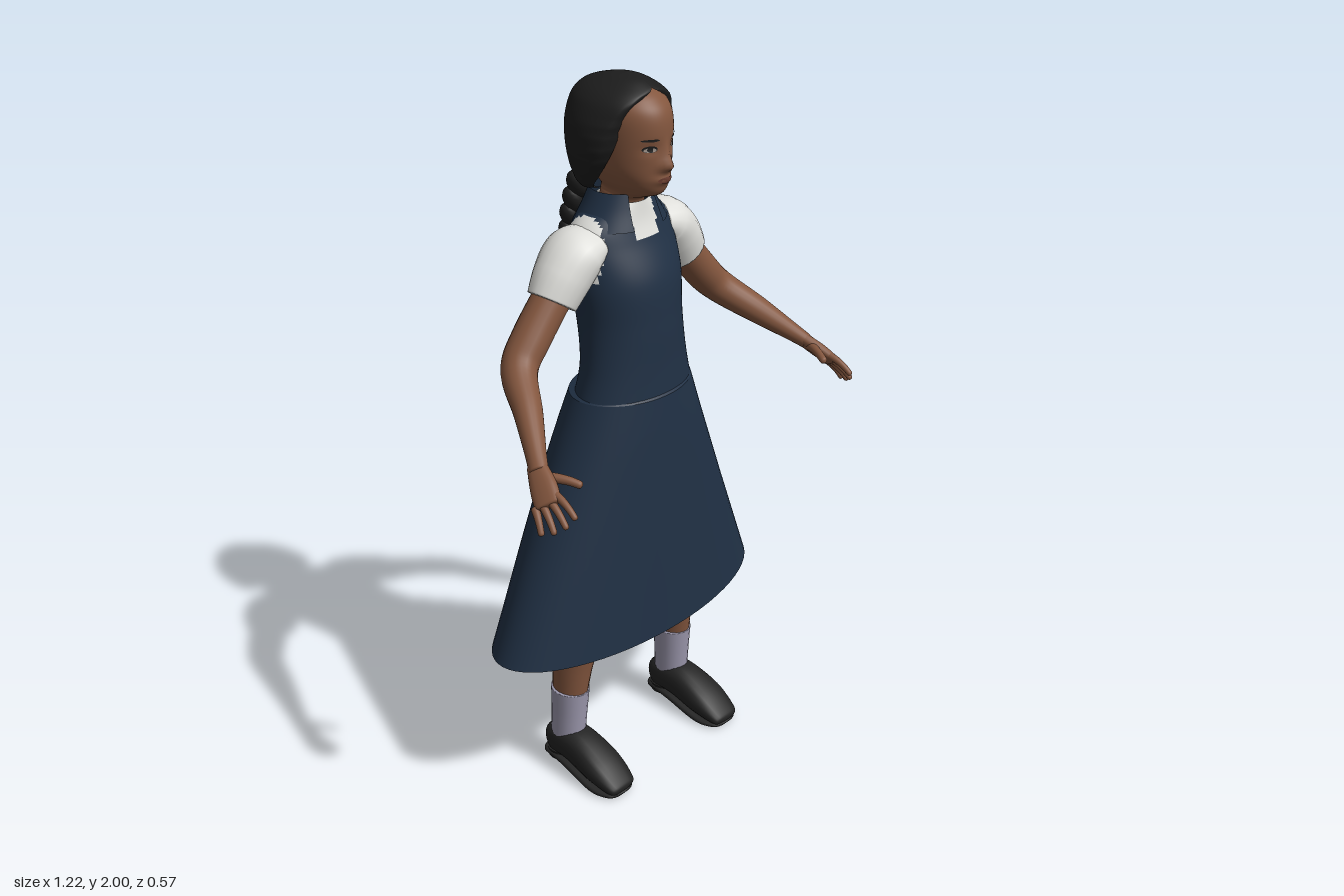
import * as THREE from 'three';

const mat = (name, color, side = THREE.FrontSide) => {
  const m = new THREE.MeshStandardMaterial({ color, side });
  m.name = name;
  return m;
};

// Catmull-Rom interpolation through rows of numbers, t in 0..1
function sample(rows, t) {
  const n = rows.length - 1, f = Math.min(t * n, n - 1e-6), i = Math.floor(f), k = f - i;
  const p = (j) => rows[Math.max(0, Math.min(n, j))];
  return rows[0].map((_, c) => {
    const a = p(i - 1)[c], b = p(i)[c], d = p(i + 1)[c], e = p(i + 2)[c];
    return b + 0.5 * k * (d - a + k * (2 * a - 5 * b + 4 * d - e + k * (3 * (b - d) + e - a)));
  });
}

// Grid surface; pick() sorts its faces into material groups
function surface(nu, nv, closed, point, pick = () => 0) {
  const pos = [], lists = [[], []], cols = closed ? nu : nu + 1;
  for (let j = 0; j <= nv; j++) for (let i = 0; i < cols; i++) pos.push(...point(i / nu, j / nv));
  for (let j = 0; j < nv; j++) for (let i = 0; i < nu; i++) {
    const a = j * cols + i, b = j * cols + (i + 1) % cols, c = b + cols, d = a + cols;
    const mid = [0, 1, 2].map((k) => (pos[a * 3 + k] + pos[c * 3 + k]) / 2);
    lists[pick(...mid)].push(a, b, c, a, c, d);
  }
  const g = new THREE.BufferGeometry();
  g.setAttribute('position', new THREE.Float32BufferAttribute(pos, 3));
  g.setIndex([...lists[0], ...lists[1]]);
  if (lists[1].length) {
    g.addGroup(0, lists[0].length, 0);
    g.addGroup(lists[0].length, lists[1].length, 1);
  }
  g.computeVertexNormals();
  return g;
}

// Stacked oval rings [y, halfWidth, zFront, zBack], angle measured from the front
const onRing = ([y, rx, zf, zb], a, s = 1) =>
  [rx * s * Math.sin(a), y, (zf + zb) / 2 + s * (zf - zb) / 2 * Math.cos(a)];
const loft = (rings, nu, nv, pick) =>
  surface(nu, nv, true, (u, v) => onRing(sample(rings, v), u * Math.PI * 2), pick);

// Limb swept through sections [x, y, z, radiusA, radiusB]; radiusA lies along ref, ends are rounded off
function sweep(rows, ref, cap, power = 1) {
  const R = new THREE.Vector3(...ref);
  const at = (t) => new THREE.Vector3(...sample(rows, t).slice(0, 3));
  const pw = (x) => Math.sign(x) * Math.abs(x) ** power;
  return surface(20, 36, true, (u, v) => {
    const s = sample(rows, v), a = u * Math.PI * 2;
    const end = Math.max(0, 1 - Math.min(v, 1 - v) / cap), k = Math.sqrt(1 - end * end) + 0.002;
    const T = at(Math.min(1, v + 0.01)).sub(at(Math.max(0, v - 0.01))).normalize();
    const P = R.clone().addScaledVector(T, -R.dot(T)).normalize();
    const Q = T.clone().cross(P);
    return new THREE.Vector3(s[0], s[1], s[2]).addScaledVector(P, k * s[3] * pw(Math.cos(a)))
      .addScaledVector(Q, k * s[4] * pw(Math.sin(a))).toArray();
  });
}

const HEAD = [[1.6, .055, -.02, -.14], [1.68, .052, -.015, -.14], [1.7, .05, .025, -.14], [1.712, .054, .053, -.14],
  [1.74, .072, .066, -.16], [1.79, .089, .069, -.185], [1.9, .097, .07, -.2],
  [1.95, .083, .042, -.18], [1.98, .045, -.01, -.13], [1.985, .001, -.06, -.062]];

// Nose, lips, chin and eye sockets as offsets of the face
function relief(x, y) {
  const g = (cx, cy, w, h, d) => d * Math.exp(-(((Math.abs(x) - cx) / w) ** 2) - ((y - cy) / h) ** 2);
  return g(0, 1.79, .02, .017, .024) + g(0, 1.815, .01, .025, .009)
    + g(0, 1.753, .026, .012, .01) + g(.04, 1.837, .02, .013, -.007);
}

// Thin painted oval that follows the face
function facePatch(cx, cy, w, h, lift) {
  const g = new THREE.CircleGeometry(1, 20), p = g.attributes.position;
  for (let i = 0; i < p.count; i++) {
    const x = cx + p.getX(i) * w, y = cy + p.getY(i) * h;
    let lo = 0, hi = 1;
    for (let k = 0; k < 30; k++) {
      const m = (lo + hi) / 2;
      if (sample(HEAD, m)[0] < y) lo = m; else hi = m;
    }
    const [, rx, zf, zb] = sample(HEAD, lo);
    p.setXYZ(i, x, y, (zf + zb) / 2 + (zf - zb) / 2 * Math.sqrt(1 - (x / rx) ** 2) + relief(x, y) + lift);
  }
  g.computeVertexNormals();
  return g;
}

export function createModel() {
  const D = THREE.DoubleSide;
  const skin = mat('skin', 0x83563e), hair = mat('hair', 0x1d1d1d, D), navy = mat('navy cloth', 0x203044, D);
  const white = mat('white cloth', 0xdfdfdb, D), sockGrey = mat('sock', 0x9b97ac), leather = mat('shoe leather', 0x232323);
  const lip = mat('lips', 0x6e3f32), eyeWhite = mat('eye white', 0x9a8f86);
  const root = new THREE.Group();
  const group = (name) => {
    const g = new THREE.Group();
    g.name = name;
    root.add(g);
    return g;
  };
  const add = (name, geo, material, parent = root) => {
    const m = new THREE.Mesh(geo, material);
    m.name = name;
    parent.add(m);
    return m;
  };

  // Dress: skirt, waist seam, bodice with blouse showing at the shoulders and neck, open collar
  add('skirt', loft([[.47, .48, .13, -.29], [.8, .343, .112, -.255], [1.02, .25, .099, -.223], [1.165, .19, .086, -.19]], 64, 30), navy);
  add('waistSeam', loft([[1.165, .19, .086, -.19], [1.175, .175, .075, -.15]], 64, 1), navy);
  add('bodice', loft([[1.13, .195, .083, -.172], [1.24, .166, .076, -.157], [1.36, .155, .071, -.177],
    [1.48, .165, .06, -.203], [1.58, .165, .018, -.192], [1.63, .14, 0, -.176], [1.68, .065, -.008, -.15]], 72, 54, (x, y, z) => {
    const ax = Math.abs(x);
    const neck = y > 1.585 && ax < .045 && (z > -.08 || y > 1.61);
    return neck || (y > 1.49 && ax > .152 - (y - 1.5) * .25) ? 1 : 0;
  }), [navy, white]);
  const COLLAR = [[1.615, .135, .024, -.198], [1.66, .105, .008, -.18], [1.705, .08, -.004, -.165]];
  add('collar', surface(40, 8, false, (u, v) => {
    const a = .4 + v * .18;
    return onRing(sample(COLLAR, v), a + u * 2 * (Math.PI - a));
  }), navy);

  // Head and face
  const head = group('head');
  add('faceAndNeck', surface(72, 90, true, (u, v) => {
    const p = onRing(sample(HEAD, v), u * Math.PI * 2);
    if (p[2] > -.03) p[2] += relief(p[0], p[1]);
    return p;
  }), skin, head);
  add('lips', facePatch(0, 1.753, .025, .009, .002), lip, head);
  for (const s of [1, -1]) {
    add('eye', facePatch(s * .041, 1.836, .017, .0085, .002), hair, head);
    add('eyeWhite', facePatch(s * .041, 1.834, .014, .0055, .003), eyeWhite, head);
    add('iris', facePatch(s * .041, 1.835, .0065, .0065, .004), hair, head);
    add('eyebrow', facePatch(s * .042, 1.859, .02, .0035, .002), hair, head);
  }

  // Hair cap: rings carry the hairline angle as a fifth value
  const HAIR = [[1.7, .045, -.06, -.17, 1.6], [1.71, .09, -.015, -.198, 1.6], [1.76, .122, .035, -.215, 1.3],
    [1.82, .136, .06, -.226, 1.04], [1.88, .133, .068, -.23, .87], [1.93, .115, .066, -.222, .7],
    [1.957, .096, .048, -.205, .42], [1.977, .07, .022, -.175, 0], [1.994, .035, -.015, -.115, 0], [2, .001, -.06, -.062, 0]];
  add('hairCap', surface(72, 50, false, (u, v) => {
    const r = sample(HAIR, v), a0 = Math.max(0, r[4]), span = 2 * Math.PI - 2 * a0;
    const d = Math.min(u, 1 - u) * span;
    const tuck = Math.min(1, a0 / .8) * .2 * Math.exp(-((d / .14) ** 2));
    const wave = r[0] < 1.92 ? .012 * Math.sin(r[0] * 190) * Math.exp(-((d / .6) ** 2)) : 0;
    return onRing(r, a0 + u * span, 1 - tuck + wave);
  }), hair, head);

  // Braid: overlapping slanted lobes along a curve, ending in a tuft
  const braid = group('braid');
  for (let i = 0; i < 18; i++) {
    const t = i / 17, s = i % 2 ? 1 : -1, k = 1 - .55 * t ** 2.5;
    const lobe = add('braidLobe', new THREE.SphereGeometry(1, 14, 10), hair, braid);
    lobe.scale.set(.029 * k, .046 * k, .032 * k);
    lobe.position.set(s * .023 * k, 1.73 - .4 * t, -.19 - .036 * t - .04 * Math.sin(Math.PI * t));
    lobe.rotation.z = -s * .6;
  }
  const tuft = add('braidTip', new THREE.ConeGeometry(.018, .07, 10), hair, braid);
  tuft.position.set(0, 1.32, -.223);
  tuft.rotation.x = Math.PI;

  // Limbs: each part is made on the left and mirrored to the right
  const left = group('leftLimbs'), right = group('rightLimbs');
  right.scale.x = -1;
  const pair = (name, material, geo) => [left, right].forEach((side) => add(name, geo, material, side));
  const ACROSS = [1, 1, 0], SIDE = [1, 0, 0], PALM = [.5, -.5, -.65];

  pair('sleeve', white, sweep([[.11, 1.583, -.085, .045, .07], [.165, 1.562, -.09, .068, .085],
    [.212, 1.512, -.09, .074, .077], [.252, 1.454, -.09, .069, .063]], ACROSS, .03));
  pair('arm', skin, sweep([[.2, 1.52, -.09, .05, .05], [.32, 1.385, -.092, .05, .052], [.385, 1.315, -.075, .046, .048],
    [.445, 1.25, .015, .038, .037], [.505, 1.185, .1, .025, .027], [.53, 1.157, .135, .02, .026]], ACROSS, .03));
  pair('palm', skin, sweep([[.518, 1.172, .112, .024, .018], [.545, 1.135, .165, .036, .018],
    [.567, 1.104, .203, .036, .014]], PALM, .1, .85));
  pair('leg', skin, sweep([[.12, 1, -.08, .09, .085], [.165, .68, -.08, .078, .08], [.195, .47, -.074, .066, .072],
    [.213, .34, -.082, .051, .061], [.222, .2, -.09, .042, .047]], SIDE, .03));
  pair('sock', sockGrey, sweep([[.218, .275, -.086, .053, .057], [.22, .19, -.09, .048, .054],
    [.223, .09, -.095, .045, .052]], SIDE, .03));
  pair('shoe', leather, sweep([[.222, .08, -.16, .042, .045], [.222, .092, -.1, .05, .05], [.223, .088, -.04, .053, .052],
    [.225, .06, .045, .06, .04], [.226, .031, .11, .05, .021], [.226, .022, .13, .035, .01]], SIDE, .12, .8));
  pair('sole', leather, sweep([[.222, .05, -.163, .045, .01], [.223, .04, -.07, .053, .01],
    [.226, .016, .06, .064, .01], [.226, .013, .13, .04, .007]], SIDE, .12, .6));
  pair('heel', leather, new THREE.CylinderGeometry(.046, .044, .026, 20).translate(.222, .044, -.115));

  // Digits taper from base to tip
  const digit = (name, base, tip, r) => pair(name, skin, sweep([-.2, .25, .65, 1].map((t) => {
    const p = base.clone().lerp(tip, t), k = r * (1.1 - .3 * t);
    return [p.x, p.y + .006 * Math.sin(Math.PI * t), p.z, k, k];
  }), ACROSS, .12));
  const V = (x, y, z) => new THREE.Vector3(x, y, z);
  for (let i = 0; i < 4; i++) {
    const k = i / 3;
    const base = V(.545, 1.128, .212).lerp(V(.583, 1.09, .175), k);
    const tip = V(.55, 1.09, .278).lerp(V(.602, 1.042, .212), k);
    digit('finger', base, base.clone().lerp(tip, 1 + .2 * Math.sin(Math.PI * k)), .0098);
  }
  digit('thumb', V(.525, 1.15, .15), V(.482, 1.14, .235), .0125);
  return root;
}
